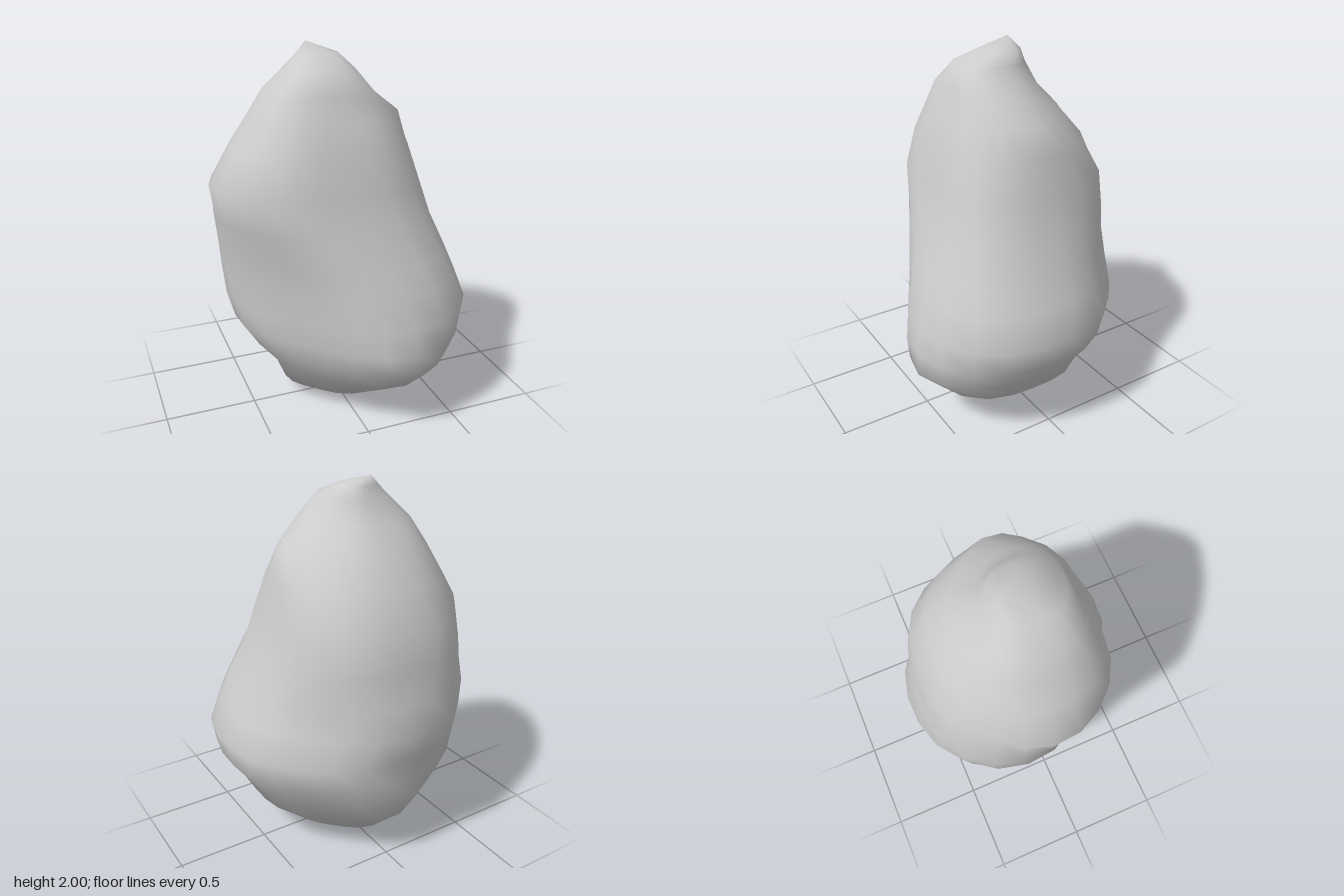
import * as THREE from 'three';

const SIDES = 24;

// Rock sections, top to bottom. Each gives its height, then how far it reaches
// along x, z and the two diagonals (x - z) and (x + z), as min, max pairs.
const SECTIONS = [
  [1.95, -0.18, 0.02, -0.15, 0.04, -0.13, 0.08, -0.20, 0.02],
  [1.89, -0.25, 0.07, -0.17, 0.20, -0.26, 0.11, -0.25, 0.13],
  [1.77, -0.38, 0.17, -0.24, 0.24, -0.38, 0.17, -0.36, 0.24],
  [1.65, -0.45, 0.35, -0.34, 0.29, -0.44, 0.29, -0.45, 0.30],
  [1.50, -0.55, 0.38, -0.45, 0.35, -0.51, 0.42, -0.53, 0.38],
  [1.31, -0.68, 0.42, -0.54, 0.39, -0.57, 0.52, -0.61, 0.47],
  [1.12, -0.65, 0.47, -0.58, 0.44, -0.53, 0.54, -0.65, 0.55],
  [0.94, -0.62, 0.55, -0.60, 0.51, -0.49, 0.55, -0.69, 0.63],
  [0.80, -0.61, 0.61, -0.66, 0.56, -0.47, 0.57, -0.68, 0.69],
  [0.64, -0.60, 0.68, -0.61, 0.62, -0.46, 0.62, -0.66, 0.73],
  [0.50, -0.56, 0.65, -0.60, 0.65, -0.45, 0.59, -0.64, 0.71],
  [0.38, -0.47, 0.56, -0.62, 0.67, -0.42, 0.51, -0.55, 0.67],
  [0.25, -0.36, 0.49, -0.57, 0.53, -0.34, 0.45, -0.45, 0.58],
  [0.09, -0.30, 0.29, -0.38, 0.27, -0.22, 0.30, -0.29, 0.32],
];

// Rounded outline that touches all eight limits of a section
function ring([y, x0, x1, z0, z1, a0, a1, b0, b1]) {
  const cx = (x0 + x1) / 2, cz = (z0 + z1) / 2;
  const limits = [x1, b1, z1, -a0, -x0, -b0, -z0, a1];
  const points = [];
  for (let j = 0; j < SIDES; j++) {
    const t = (j / SIDES) * Math.PI * 2;
    let sum = 0;
    limits.forEach((limit, k) => {
      const d = (k * Math.PI) / 4;
      const reach = Math.max(0.03, limit - cx * Math.cos(d) - cz * Math.sin(d));
      sum += Math.pow(Math.max(0, Math.cos(t - d)) / reach, 10);
    });
    const r = Math.pow(sum, -0.1);
    points.push(cx + r * Math.cos(t), y, cz + r * Math.sin(t));
  }
  return points;
}

export function createModel() {
  const group = new THREE.Group();
  const positions = SECTIONS.flatMap(ring);
  const index = [];
  const rows = SECTIONS.length;
  const top = rows * SIDES, bottom = top + 1;
  positions.push(-0.12, 2, -0.12, 0.08, 0, -0.08);

  for (let j = 0; j < SIDES; j++) {
    const n = (j + 1) % SIDES;
    // Wall between neighbouring sections
    for (let i = 0; i < rows - 1; i++) {
      const a = i * SIDES + j, b = i * SIDES + n;
      index.push(a, b, a + SIDES, b, b + SIDES, a + SIDES);
    }
    // Peak and foot
    const last = (rows - 1) * SIDES;
    index.push(top, n, j, bottom, last + j, last + n);
  }

  const geometry = new THREE.BufferGeometry();
  geometry.setAttribute('position', new THREE.Float32BufferAttribute(positions, 3));
  geometry.setIndex(index);
  geometry.computeVertexNormals();

  const rock = new THREE.Mesh(geometry, new THREE.MeshStandardMaterial({ color: 0xcccccc }));
  rock.name = 'rock';
  group.add(rock);
  return group;
}
